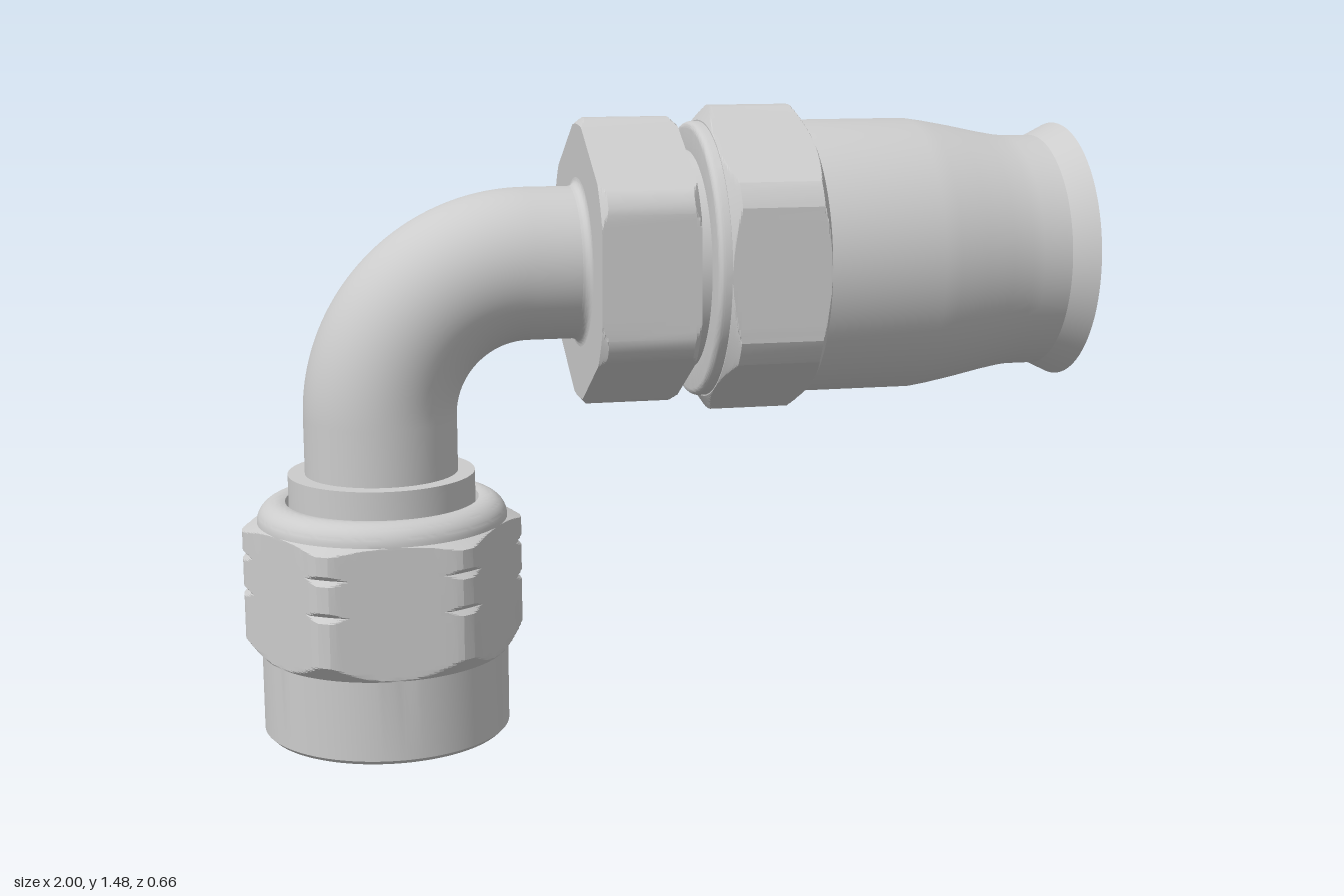
import * as THREE from 'three';
import { toCreasedNormals } from 'three/addons/utils/BufferGeometryUtils.js';

const AXIS_X = -0.67; // centre line of the upright end
const AXIS_Y = 1.11;  // centre line of the level end
const BORE = 0.122;
const grey = new THREE.MeshStandardMaterial({ color: 0xcccccc });
const inside = new THREE.MeshStandardMaterial({ color: 0xcccccc, side: THREE.BackSide });

// Turned part from [radius, height] points; an apothem also mills it to a hexagon.
function turned(name, profile, apothem) {
  const points = profile.map(([r, y]) => new THREE.Vector2(r, y));
  const geometry = new THREE.LatheGeometry(points, apothem ? 144 : 96);
  if (apothem) {
    const p = geometry.attributes.position;
    const sixth = Math.PI / 3;
    for (let i = 0; i < p.count; i++) {
      const x = p.getX(i), z = p.getZ(i);
      const angle = Math.atan2(x, z);
      const off = angle - Math.round(angle / sixth) * sixth;
      const scale = Math.min(1, apothem / Math.cos(off) / Math.hypot(x, z));
      p.setX(i, x * scale);
      p.setZ(i, z * scale);
    }
  }
  const mesh = new THREE.Mesh(toCreasedNormals(geometry, 0.3), grey);
  mesh.name = name;
  return mesh;
}

// Finely divided straight slope, so chamfers cut clean scallops into the flats
function slope(r0, y0, r1, y1, n = 10) {
  return Array.from({ length: n + 1 }, (_, i) => [r0 + (r1 - r0) * i / n, y0 + (y1 - y0) * i / n]);
}

// Rounded profile corner, angles in degrees
function arc(cr, cy, radius, from, to, n = 12) {
  return Array.from({ length: n + 1 }, (_, i) => {
    const a = THREE.MathUtils.degToRad(from + (to - from) * i / n);
    return [cr + radius * Math.cos(a), cy + radius * Math.sin(a)];
  });
}

// Shallow V groove that only nicks the hexagon's corners
function groove(r, y) {
  return [...slope(r, y - 0.012, r - 0.013, y, 4), ...slope(r - 0.013, y, r, y + 0.012, 4)];
}

// Pipe running in from the right, round the bend and down
function pipe(name, xStart, yEnd, radius, material) {
  const bend = 0.35, k = bend * 0.4477;
  const v = (x, y) => new THREE.Vector3(x, y, 0);
  const a = v(AXIS_X + bend, AXIS_Y), b = v(AXIS_X, AXIS_Y - bend);
  const path = new THREE.CurvePath();
  path.add(new THREE.LineCurve3(v(xStart, AXIS_Y), a));
  path.add(new THREE.CubicBezierCurve3(a, v(AXIS_X + k, AXIS_Y), v(AXIS_X, AXIS_Y - k), b));
  path.add(new THREE.LineCurve3(b, v(AXIS_X, yEnd)));
  const mesh = new THREE.Mesh(new THREE.TubeGeometry(path, 120, radius, 64), material);
  mesh.name = name;
  return mesh;
}

export function createModel() {
  const model = new THREE.Group();
  model.name = 'elbowHoseFitting';

  model.add(pipe('elbowTube', -0.19, 0.55, 0.18, grey));
  model.add(pipe('innerBore', 1, 0.12, BORE, inside));

  // Upright end: swivel nut, flared seat inside it, and collar
  const swivel = new THREE.Group();
  swivel.name = 'swivelEnd';
  swivel.position.x = AXIS_X;
  swivel.add(turned('swivelNut', [
    [0.23, 0.27], [0.23, 0.03], [0.262, 0], [0.283, 0], [0.293, 0.01], [0.293, 0.2],
    ...slope(0.294, 0.2, 0.33, 0.24),
    ...groove(0.33, 0.357), ...groove(0.33, 0.443),
    ...slope(0.33, 0.5, 0.295, 0.515),
    ...arc(0.245, 0.515, 0.05, 0, 110), [0.222, 0.53],
  ], 0.295));
  swivel.add(turned('flaredSeat', [[BORE, 0.12], [0.138, 0.12], [0.232, 0.26]]));
  swivel.add(turned('tubeCollar', [[0.22, 0.5], [0.22, 0.627], [0.178, 0.627]]));
  model.add(swivel);

  // Level end: profiles use their height as x
  const hose = new THREE.Group();
  hose.name = 'hoseEnd';
  hose.position.y = AXIS_Y;
  hose.rotation.z = -Math.PI / 2;
  hose.add(turned('tubeFillet', arc(0.2, -0.215, 0.02, 180, 90, 8).reverse().map(([r, y]) => [r, y]).reverse()));
  hose.add(turned('backNut', [
    [0.17, -0.195], [0.3, -0.195],
    ...slope(0.325, -0.195, 0.34, -0.18, 6),
    ...slope(0.34, 0.02, 0.325, 0.035, 6),
    [0.25, 0.035],
  ], 0.305));
  hose.add(turned('neck', [[0.26, 0.03], [0.26, 0.08]]));
  hose.add(turned('frontNut', [
    [0.25, 0.07], ...arc(0.312, 0.085, 0.015, -90, 0, 6), [0.327, 0.1],
    ...slope(0.33, 0.1, 0.365, 0.122),
    ...slope(0.365, 0.315, 0.33, 0.335),
    [0.31, 0.335],
  ], 0.33));
  hose.add(turned('hoseSocket', [
    [0.327, 0.32], [0.327, 0.61], [0.321, 0.65], [0.308, 0.72], [0.293, 0.79],
    [0.284, 0.84], [0.281, 0.87], [0.281, 0.94], [0.31, 1], [BORE, 1],
  ]));
  model.add(hose);

  return model;
}
